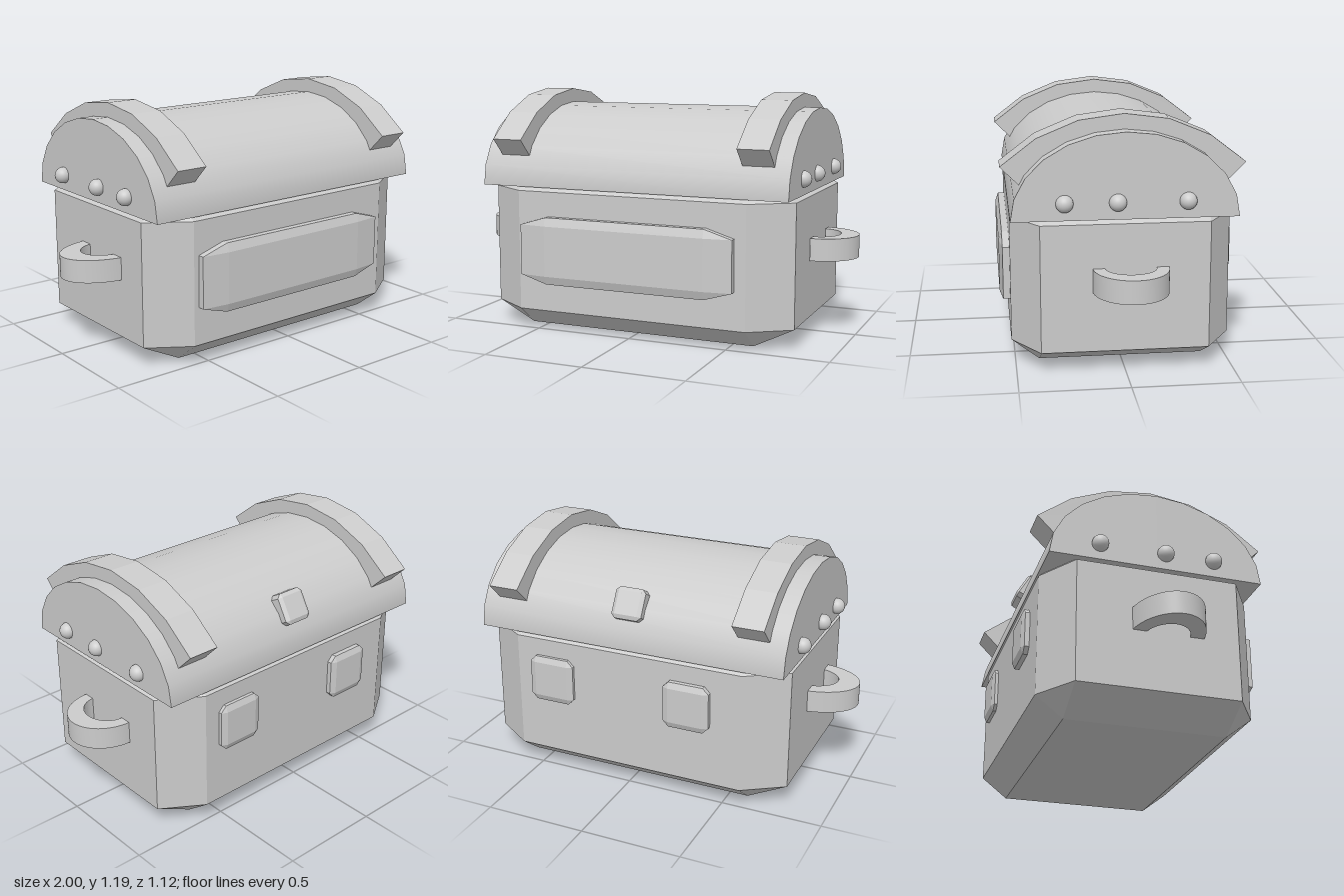
import * as THREE from 'three';
import { ConvexGeometry } from 'three/addons/geometries/ConvexGeometry.js';
import { toCreasedNormals } from 'three/addons/utils/BufferGeometryUtils.js';

const CENTER_X = 0.005, LENGTH = 1.59, LID_Y = 0.72;

// Box with every edge chamfered by an eighth of its size
function chamferBox(w, h, d) {
  const points = [], k = 0.75;
  for (const x of [-w / 2, w / 2])
    for (const y of [-h / 2, h / 2])
      for (const z of [-d / 2, d / 2])
        points.push(
          new THREE.Vector3(x, y * k, z * k),
          new THREE.Vector3(x * k, y, z * k),
          new THREE.Vector3(x * k, y * k, z));
  return new ConvexGeometry(points);
}

// Arched strap: a ring sector of 90 degrees in six flat steps
function strapGeometry(width) {
  const outer = [], inner = [];
  for (let i = 0; i <= 6; i++) {
    const a = -Math.PI / 4 + (i * Math.PI) / 12;
    outer.push(new THREE.Vector2(0.79 * Math.sin(a), 0.785 * Math.cos(a)));
    inner.unshift(new THREE.Vector2(0.67 * Math.sin(a), 0.665 * Math.cos(a)));
  }
  const shape = new THREE.Shape([...outer, ...inner]);
  return new THREE.ExtrudeGeometry(shape, { depth: width, bevelEnabled: false })
    .translate(0, 0, -width / 2).rotateY(Math.PI / 2);
}

// Half ring handle with a rectangular section, bulging towards side (+1 or -1)
function handleGeometry(side, rx, rz, innerX, innerZ) {
  const height = 0.11;
  const start = side > 0 ? -Math.PI / 2 : Math.PI / 2;
  const shape = new THREE.Shape();
  shape.absellipse(0, 0, rx, rz, start, start + Math.PI, false);
  shape.absellipse(0, 0, innerX, innerZ, start + Math.PI, start, true);
  const geometry = new THREE.ExtrudeGeometry(shape, { depth: height, bevelEnabled: false, curveSegments: 20 })
    .rotateX(-Math.PI / 2).translate(0, -height / 2, 0);
  return toCreasedNormals(geometry, Math.PI / 5);
}

export function createModel() {
  const group = new THREE.Group();
  const material = new THREE.MeshStandardMaterial({ color: 0xcccccc });
  const add = (name, geometry, x, y, z) => {
    const mesh = new THREE.Mesh(geometry, material);
    mesh.name = name;
    mesh.position.set(x, y, z);
    group.add(mesh);
    return mesh;
  };

  // Chest body, its top chamfer running up into the lid
  add('body', chamferBox(LENGTH, 0.8, 1.035), CENTER_X, 0.4, 0);

  // Half barrel lid with a flat underside
  const lid = new THREE.CylinderGeometry(1, 1, LENGTH, 12, 1, false, 0, Math.PI)
    .rotateZ(Math.PI / 2).scale(1, 0.395, 0.518);
  add('lid', lid, CENTER_X, LID_Y, 0);
  add('lidUnderside', new THREE.PlaneGeometry(LENGTH, 1.036).rotateX(Math.PI / 2), CENTER_X, LID_Y, 0);

  // Straps over the lid
  const strap = strapGeometry(0.155);
  add('rightStrap', strap, -0.628, 0.4, 0);
  add('leftStrap', strap, 0.643, 0.4, 0);

  // Raised front panel and back pads
  add('frontPanel', chamferBox(1.11, 0.335, 0.12), -0.01, 0.41, 0.505);
  add('rightBackPad', chamferBox(0.235, 0.235, 0.1), -0.32, 0.495, -0.503);
  add('leftBackPad', chamferBox(0.235, 0.235, 0.1), 0.405, 0.495, -0.496);

  // Clasp leaning against the back of the lid
  const clasp = add('lidClasp', chamferBox(0.155, 0.155, 0.1), CENTER_X, 0.925, -0.437);
  clasp.rotation.x = Math.PI / 6;

  // Carrying handles
  add('leftHandle', handleGeometry(1, 0.197, 0.174, 0.107, 0.118), 0.803, 0.44, -0.022);
  add('rightHandle', handleGeometry(-1, 0.26, 0.174, 0.153, 0.11), -0.74, 0.44, 0.045);

  // Rivets on both lid ends
  const rivet = new THREE.SphereGeometry(0.04, 24, 16);
  for (const [name, x] of [['rightRivet', -0.8], ['leftRivet', 0.8]])
    for (const z of [-0.28, 0.038, 0.277]) add(name, rivet, x, 0.798, z);

  return group;
}
